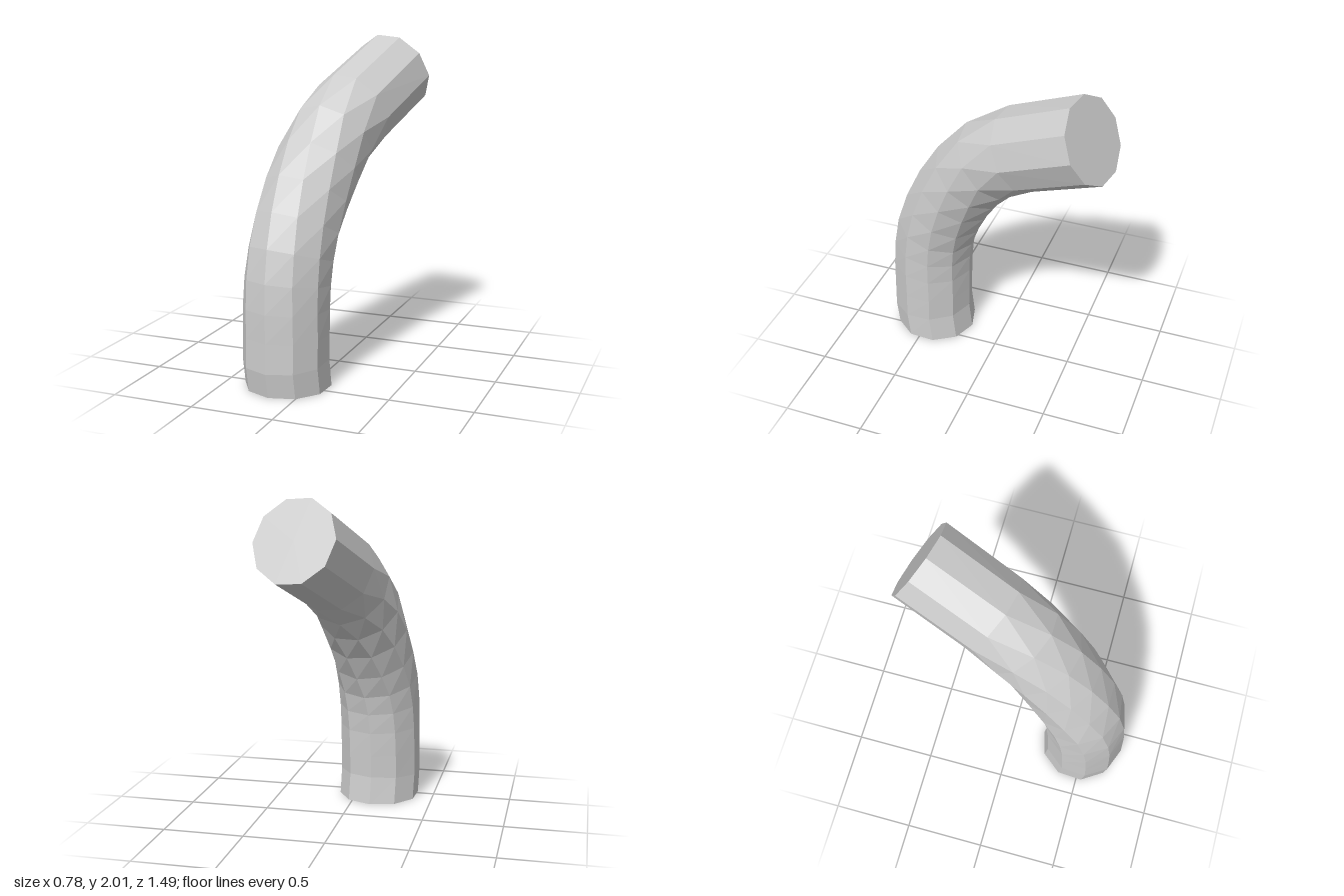
import * as THREE from 'three';

const SIDES = 10, RADIUS = 0.258;
const AZIMUTH = THREE.MathUtils.degToRad(14.3); // heading of the bend, turned from -z towards +x

// Centre line of the bend: [z, y, twist in degrees]
const STATIONS = [
  [0.467, 0, 0], [0.488, 0.16, 0], [0.484, 0.32, 0], [0.48, 0.48, -1],
  [0.467, 0.63, -3], [0.435, 0.785, -6], [0.37, 0.95, -12], [0.28, 1.12, -19],
  [0.17, 1.28, -28], [0.03, 1.43, -42], [-0.165, 1.562, -59], [-0.62, 1.777, -60],
];

// One ten-sided ring, square to the centre line
function ring(i) {
  const [z, y, twist] = STATIONS[i];
  const a = STATIONS[Math.max(i - 1, 0)];
  const b = STATIONS[Math.min(i + 1, STATIONS.length - 1)];
  const tilt = i === 0 ? 0 : Math.atan2((a[0] - b[0]) / Math.cos(AZIMUTH), b[1] - a[1]);
  const sin = Math.sin(AZIMUTH), cos = Math.cos(AZIMUTH);
  const centre = new THREE.Vector3(-0.14 + (0.467 - z) * Math.tan(AZIMUTH), y, z);
  const outer = new THREE.Vector3(-sin * Math.cos(tilt), Math.sin(tilt), cos * Math.cos(tilt));
  const side = new THREE.Vector3(cos, 0, sin);
  const points = [];
  for (let j = 0; j < SIDES; j++) {
    const t = THREE.MathUtils.degToRad(11 + twist + j * 360 / SIDES);
    points.push(centre.clone()
      .addScaledVector(outer, RADIUS * Math.cos(t))
      .addScaledVector(side, RADIUS * Math.sin(t)));
  }
  return { centre, points };
}

export function createModel() {
  const group = new THREE.Group();
  group.name = 'bentPipe';
  const rings = STATIONS.map((_, i) => ring(i));
  const verts = [];
  const tri = (...p) => p.forEach((v) => verts.push(v.x, v.y, v.z));

  // Wall
  for (let i = 0; i < rings.length - 1; i++) {
    const lo = rings[i].points, hi = rings[i + 1].points;
    for (let j = 0; j < SIDES; j++) {
      const k = (j + 1) % SIDES;
      tri(lo[j], lo[k], hi[k]);
      tri(lo[j], hi[k], hi[j]);
    }
  }
  // End caps
  const first = rings[0], last = rings[rings.length - 1];
  for (let j = 0; j < SIDES; j++) {
    const k = (j + 1) % SIDES;
    tri(first.centre, first.points[k], first.points[j]);
    tri(last.centre, last.points[j], last.points[k]);
  }

  const geometry = new THREE.BufferGeometry();
  geometry.setAttribute('position', new THREE.Float32BufferAttribute(verts, 3));
  geometry.computeVertexNormals();
  const mesh = new THREE.Mesh(geometry,
    new THREE.MeshStandardMaterial({ color: 0xcccccc, flatShading: true }));
  mesh.name = 'pipe';
  group.add(mesh);
  return group;
}
